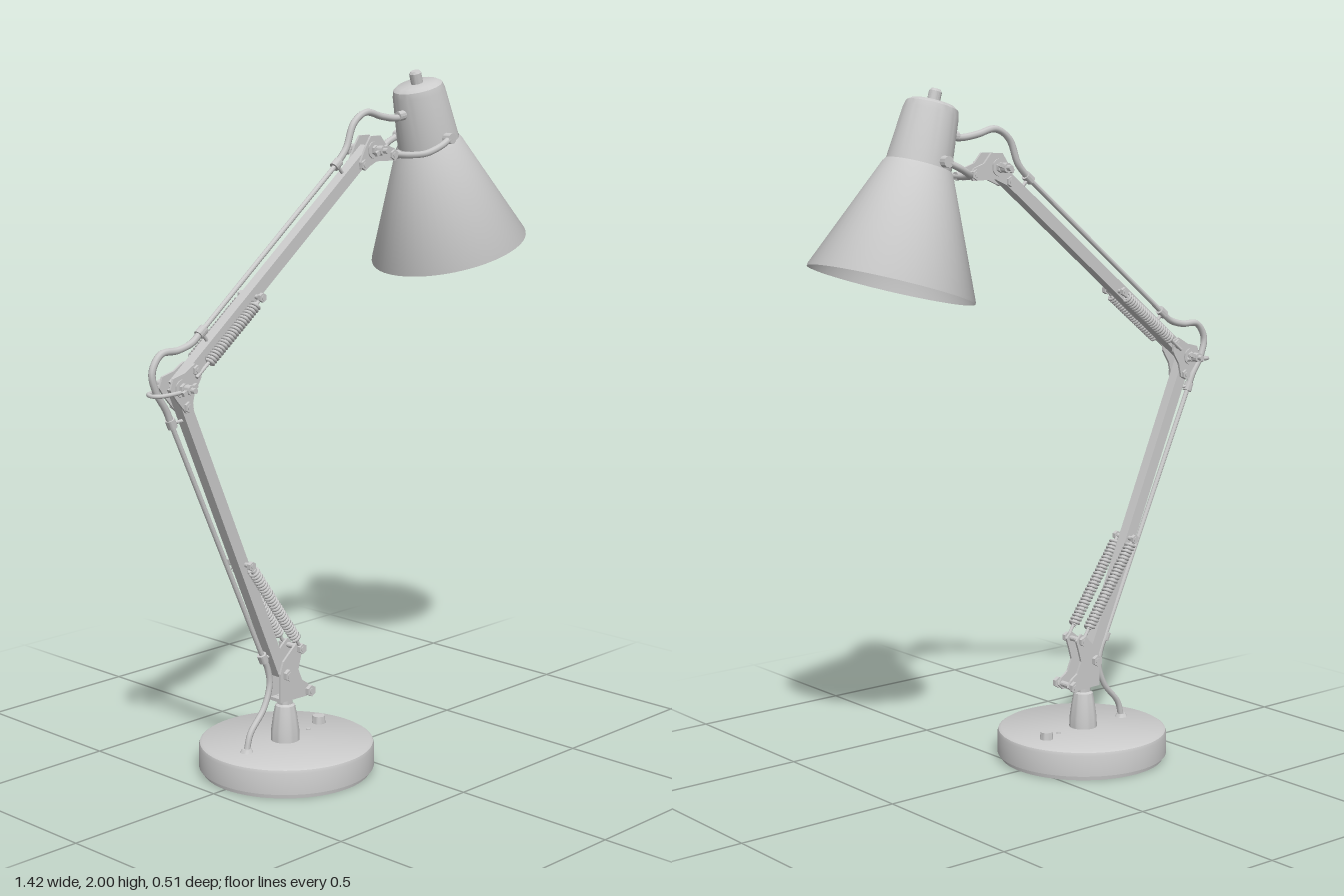
import * as THREE from 'three';
import { toCreasedNormals } from 'three/addons/utils/BufferGeometryUtils.js';

const mat = new THREE.MeshStandardMaterial({ color: 0xcccccc });
const matDouble = new THREE.MeshStandardMaterial({ color: 0xcccccc, side: THREE.DoubleSide });
const V = (x, y, z = 0) => new THREE.Vector3(x, y, z);
const UP = V(0, 1, 0);

export function createModel() {
  const root = new THREE.Group();

  function add(name, geo, material = mat) {
    const m = new THREE.Mesh(geo, material);
    m.name = name;
    root.add(m);
    return m;
  }
  // turn a mesh built along y so that it spans from a to b
  function span(m, a, b) {
    m.position.lerpVectors(a, b, 0.5);
    m.quaternion.setFromUnitVectors(UP, b.clone().sub(a).normalize());
    return m;
  }
  const rod = (name, a, b, r, r2 = r, sides = 12) =>
    span(add(name, toCreasedNormals(new THREE.CylinderGeometry(r2, r, a.distanceTo(b), sides), 0.8)), a, b);
  const bar = (name, a, b, w, d) => span(add(name, new THREE.BoxGeometry(w, a.distanceTo(b), d)), a, b);
  const tube = (name, pts, r, n = 48) =>
    add(name, new THREE.TubeGeometry(new THREE.CatmullRomCurve3(pts), n, r, 8));
  const lathe = (name, pts, sides = 48, material = mat) =>
    add(name, toCreasedNormals(new THREE.LatheGeometry(pts.map(p => new THREE.Vector2(...p)), sides), 0.6), material);

  // pair of bracket side plates cut from one outline
  function plates(name, pts, z, thick = 0.007) {
    const shape = new THREE.Shape(pts.map(p => new THREE.Vector2(...p)));
    for (const s of [-1, 1]) {
      const geo = new THREE.ExtrudeGeometry(shape, { depth: thick, bevelEnabled: false });
      add(name, geo).position.z = s * z - thick / 2;
    }
  }
  // cross bolt with a nut on each side
  function bolt(name, x, y, half, r, nutZ = half - 0.008) {
    rod(name, V(x, y, -half), V(x, y, half), r);
    for (const s of [-1, 1])
      rod(name + 'Nut', V(x, y, s * (nutZ - 0.006)), V(x, y, s * (nutZ + 0.006)), r * 1.9, r * 1.9, 6);
  }
  // joint bolt with washers and wing nuts
  function wingBolt(name, x, y) {
    bolt(name, x, y, 0.08, 0.008, 0.034);
    for (const s of [-1, 1]) {
      rod(name + 'Washer', V(x, y, s * 0.026), V(x, y, s * 0.03), 0.025, 0.025, 20);
      rod(name + 'WingHub', V(x, y, s * 0.045), V(x, y, s * 0.066), 0.014);
      bar(name + 'Wing', V(x - 0.025, y - 0.01, s * 0.056), V(x + 0.025, y + 0.01, s * 0.056), 0.012, 0.01);
    }
  }
  // coil springs on both sides of an arm, with hooked end wires
  function springs(name, a, b, endA, endB, turns) {
    const dir = b.clone().sub(a).normalize();
    const side = V(-dir.y, dir.x);
    for (const s of [-1, 1]) {
      const z = V(0, 0, s * 0.034);
      const pts = [];
      for (let i = 0; i <= turns * 10; i++) {
        const t = i / (turns * 10), ang = i * Math.PI / 5;
        pts.push(a.clone().lerp(b, t).add(z)
          .addScaledVector(side, 0.013 * Math.cos(ang)).add(V(0, 0, 0.013 * Math.sin(ang))));
      }
      tube(name, pts, 0.0045, turns * 10).geometry.computeBoundingSphere();
      rod(name + 'Core', a.clone().add(z), b.clone().add(z), 0.009);
      rod(name + 'Hook', endA.clone().add(z), a.clone().add(z), 0.005);
      rod(name + 'Hook', b.clone().add(z), endB.clone().add(z), 0.005);
    }
  }

  // base, switch and post
  const bx = -0.21;
  lathe('base', [[0, 0], [0.245, 0], [0.247, 0.012], [0.255, 0.014], [0.255, 0.076],
    [0.252, 0.085], [0.244, 0.09], [0, 0.09]], 64).position.x = bx;
  lathe('post', [[0.042, 0.088], [0.041, 0.12], [0.034, 0.17], [0.029, 0.195], [0.022, 0.2],
    [0.022, 0.225], [0, 0.225]], 32).position.x = -0.215;
  rod('switchButton', V(-0.045, 0.088, -0.03), V(-0.045, 0.112, -0.03), 0.02, 0.018, 20);
  rod('baseScrew', V(-0.11, 0.088, -0.01), V(-0.11, 0.093, -0.01), 0.007);
  rod('cableGrommet', V(-0.37, 0.088), V(-0.37, 0.1), 0.02, 0.013, 20);

  // lower bracket
  plates('lowerBracket', [[-0.258, 0.215], [-0.15, 0.212], [-0.133, 0.228], [-0.145, 0.248], [-0.17, 0.265],
    [-0.185, 0.3], [-0.175, 0.335], [-0.165, 0.365], [-0.185, 0.385], [-0.21, 0.365], [-0.245, 0.335], [-0.258, 0.3]], 0.022);
  bar('lowerBracketFloor', V(-0.255, 0.219), V(-0.155, 0.219), 0.01, 0.044);
  bolt('lowerPivot', -0.237, 0.297, 0.046, 0.009);
  bolt('springAnchor', -0.183, 0.365, 0.046, 0.008);
  bolt('lowerBracketBolt', -0.148, 0.23, 0.046, 0.009);

  // arms
  const foot = V(-0.237, 0.297), elbow = V(-0.62, 1.185), head = V(0.127, 1.778);
  bar('lowerArm', foot, elbow, 0.036, 0.034);
  bar('upperArm', elbow, head, 0.036, 0.034);

  // springs and their anchor pins
  springs('lowerSpring', V(-0.205, 0.4), V(-0.372, 0.635), V(-0.183, 0.365), V(-0.383, 0.65), 26);
  bolt('lowerSpringPin', -0.383, 0.65, 0.048, 0.007);
  springs('upperSpring', V(-0.53, 1.245), V(-0.35, 1.385), V(-0.575, 1.21), V(-0.335, 1.4), 22);
  bolt('upperSpringPin', -0.335, 1.402, 0.048, 0.007);

  // elbow bracket
  plates('elbowBracket', [[-0.605, 1.115], [-0.585, 1.125], [-0.575, 1.165], [-0.55, 1.205], [-0.552, 1.24],
    [-0.572, 1.247], [-0.61, 1.225], [-0.65, 1.215], [-0.662, 1.185], [-0.64, 1.155]], 0.022);
  wingBolt('elbowBolt', elbow.x, elbow.y);
  bolt('elbowLowerBolt', -0.6, 1.132, 0.036, 0.008);
  bolt('elbowUpperBolt', -0.567, 1.228, 0.036, 0.008);
  tube('elbowCableGuide', [V(-0.6, 1.178, 0.032), V(-0.66, 1.175, 0.033), V(-0.698, 1.173, 0.022), V(-0.706, 1.172, 0),
    V(-0.698, 1.173, -0.022), V(-0.66, 1.175, -0.033), V(-0.6, 1.178, -0.032)], 0.006);

  // head bracket
  plates('headBracket', [[0.075, 1.725], [0.1, 1.728], [0.14, 1.745], [0.22, 1.743], [0.226, 1.76], [0.215, 1.778],
    [0.18, 1.79], [0.155, 1.818], [0.115, 1.818], [0.095, 1.79], [0.072, 1.745]], 0.022);
  wingBolt('headBolt', head.x, head.y);
  bolt('headArmBolt', 0.086, 1.738, 0.034, 0.008);
  bolt('headYokeBolt', 0.21, 1.76, 0.034, 0.008);

  // power cable, clipped along the arms
  tube('baseCable', [V(-0.37, 0.09), V(-0.355, 0.14), V(-0.3, 0.205), V(-0.277, 0.27), V(-0.285, 0.32), V(-0.305, 0.36)], 0.009);
  rod('lowerCable', V(-0.3, 0.35), V(-0.642, 1.095), 0.007);
  tube('elbowCable', [V(-0.638, 1.085), V(-0.655, 1.125), V(-0.69, 1.18), V(-0.703, 1.235), V(-0.672, 1.28),
    V(-0.61, 1.284), V(-0.56, 1.298), V(-0.525, 1.325)], 0.01);
  rod('upperCable', V(-0.525, 1.325), V(0.005, 1.748), 0.007);
  tube('headCable', [V(0, 1.744), V(0.038, 1.785), V(0.07, 1.855), V(0.12, 1.884), V(0.185, 1.87), V(0.24, 1.862), V(0.29, 1.865)], 0.01);
  for (const [x, y, dx, dy] of [[-0.303, 0.355, -0.4, 0.9], [-0.638, 1.088, -0.4, 0.9], [-0.525, 1.325, 0.8, 0.62], [0, 1.744, 0.8, 0.62]]) {
    const d = V(dx, dy).multiplyScalar(0.013);
    rod('cableClip', V(x, y).sub(d), V(x, y).add(d), 0.014);
  }
  // stays that tie the cable clips to the arms
  rod('cableStay', V(-0.525, 1.325), V(-0.495, 1.285), 0.005);
  rod('cableStay', V(0, 1.744), V(0.035, 1.705), 0.005);
  rod('cableStay', V(-0.638, 1.088), V(-0.58, 1.092), 0.005);
  rod('cableStay', V(-0.303, 0.355), V(-0.262, 0.355), 0.005);

  // yoke holding the shade
  rod('yokeStem', V(0.19, 1.758), V(0.262, 1.757), 0.012);
  tube('yoke', [V(0.37, 1.802, 0.102), V(0.325, 1.782, 0.105), V(0.282, 1.763, 0.088), V(0.258, 1.757, 0.045), V(0.255, 1.756, 0),
    V(0.258, 1.757, -0.045), V(0.282, 1.763, -0.088), V(0.325, 1.782, -0.105), V(0.37, 1.802, -0.102)], 0.01);
  for (const s of [-1, 1]) {
    rod('shadePivot', V(0.37, 1.802, s * 0.075), V(0.37, 1.802, s * 0.112), 0.016);
  }
  rod('cablePlug', V(0.255, 1.866), V(0.295, 1.872), 0.014);

  // shade, cap and top knob, tilted as one
  const lamp = new THREE.Group();
  lamp.name = 'lampHead';
  lamp.position.set(0.485, 1.468, 0);
  lamp.rotation.z = 0.291;
  lamp.add(
    lathe('shade', [[0.235, 0], [0.235, 0.006], [0.1, 0.325], [0.093, 0.335]], 48, matDouble),
    lathe('shadeCap', [[0.092, 0.332], [0.078, 0.485], [0.073, 0.503], [0.06, 0.512], [0, 0.514]], 48, matDouble),
    lathe('topKnob', [[0.018, 0.51], [0.018, 0.543], [0.013, 0.55], [0, 0.55]], 20));
  root.add(lamp);
  return root;
}
